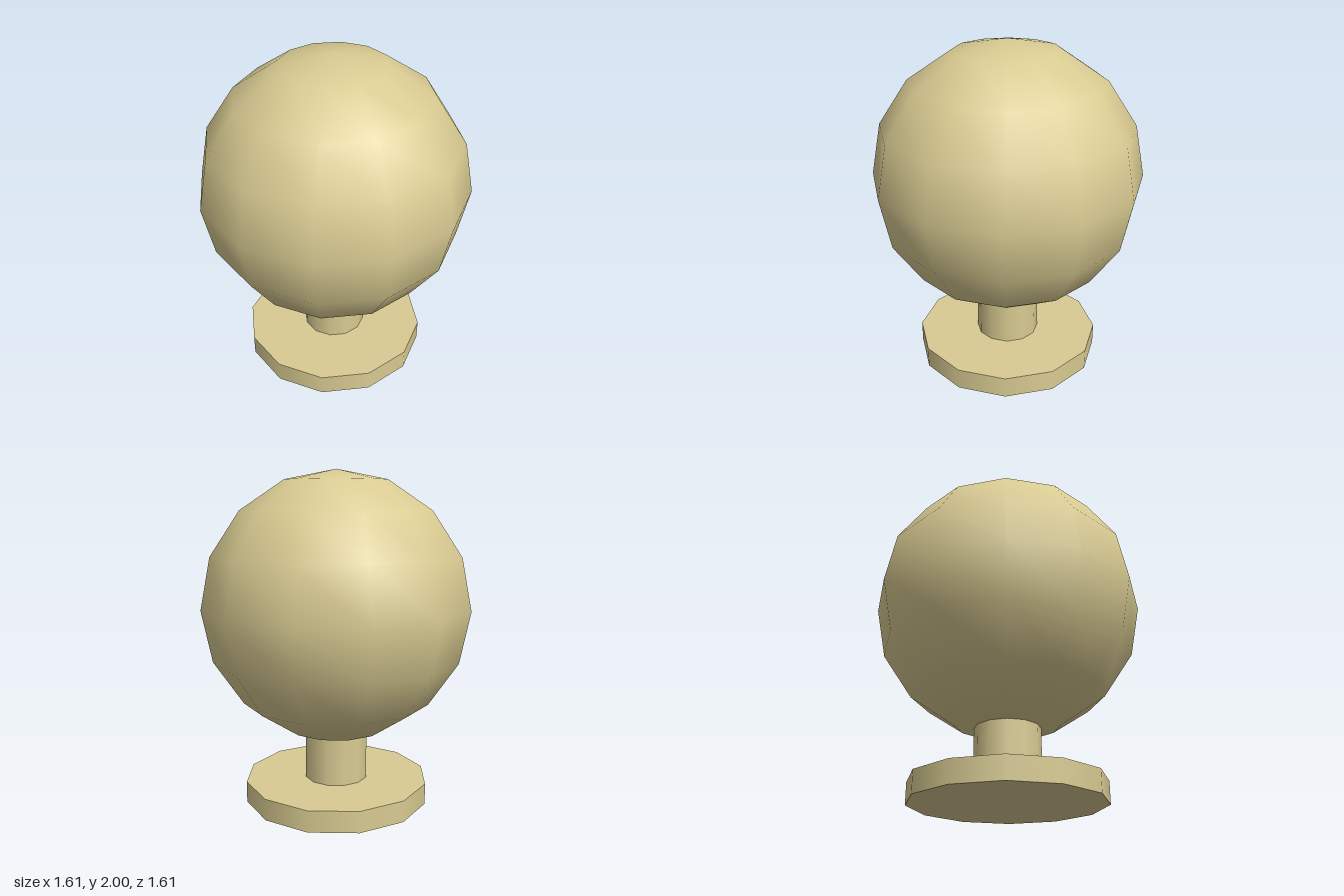
import * as THREE from 'three';

export function createModel() {
  const group = new THREE.Group();
  const material = new THREE.MeshStandardMaterial({ color: 0xd9cb92 });
  const SIDES = 12;

  const add = (name, geometry, y) => {
    const mesh = new THREE.Mesh(geometry, material);
    mesh.name = name;
    mesh.position.y = y;
    group.add(mesh);
  };
  // upright disc or post between two heights
  const post = (name, radius, bottom, top) =>
    add(name, new THREE.CylinderGeometry(radius, radius, top - bottom, SIDES), (bottom + top) / 2);

  // flat mounting plate
  post('basePlate', 0.563, 0, 0.13);
  // neck, running up into the ball
  post('neck', 0.193, 0.13, 0.6);
  // ball-shaped knob
  add('knob', new THREE.SphereGeometry(0.803, SIDES, 8), 1.197);

  return group;
}
